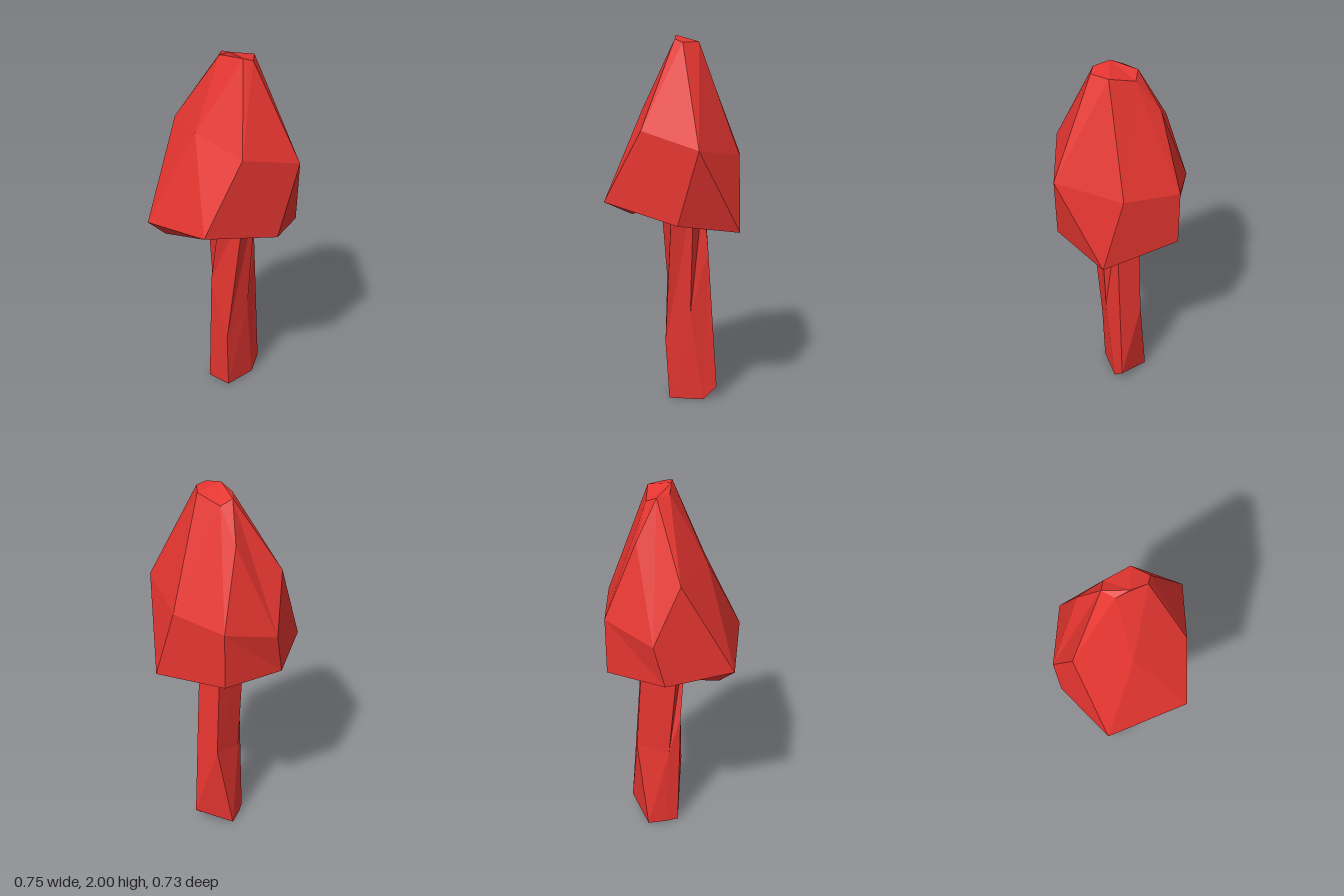
import * as THREE from 'three';

// Joins matching cross-section loops (counter-clockwise from above) into a faceted skin.
// flips lists the bands whose quads are split along the other diagonal.
function loft(rings, flips = []) {
  const pos = [];
  const tri = (...pts) => {
    const [a, b, c] = pts.map((p) => new THREE.Vector3(...p));
    if (b.clone().sub(a).cross(c.clone().sub(a)).length() > 1e-6) {
      for (const p of pts) pos.push(...p);
    }
  };
  for (let k = 0; k < rings.length - 1; k++) {
    const lo = rings[k], up = rings[k + 1], n = lo.length;
    for (let i = 0; i < n; i++) {
      const j = (i + 1) % n;
      if (flips.includes(k)) {
        tri(lo[i], lo[j], up[i]);
        tri(lo[j], up[j], up[i]);
      } else {
        tri(lo[i], lo[j], up[j]);
        tri(lo[i], up[j], up[i]);
      }
    }
  }
  const geo = new THREE.BufferGeometry();
  geo.setAttribute('position', new THREE.Float32BufferAttribute(pos, 3));
  geo.computeVertexNormals();
  return geo;
}

// A ring collapsed to one point, which closes a loft with a fan
const tip = (n, ...p) => Array(n).fill(p);

export function createModel() {
  const group = new THREE.Group();
  const red = new THREE.MeshStandardMaterial({ color: 0xe53530, flatShading: true });
  const add = (name, geo) => {
    const mesh = new THREE.Mesh(geo, red);
    mesh.name = name;
    group.add(mesh);
  };

  // Cap: hollow underside, lip, rim, widest loop, crown and peak
  const lip = [[-0.17, 0.99, 0.28], [-0.17, 0.99, 0.28], [0.2, 1.12, 0.28], [0.27, 1.05, -0.05],
    [0.15, 1.02, -0.29], [-0.2, 1.06, -0.24], [-0.3, 1.05, 0.03]];
  const rim = [[-0.215, 1.07, 0.363], [-0.215, 1.07, 0.363], [0.225, 1.14, 0.35], [0.34, 1.05, -0.06],
    [0.175, 0.99, -0.365], [-0.25, 1.04, -0.305], [-0.365, 1.04, 0.02]];
  const widest = [[-0.3, 1.58, 0.09], [-0.02, 1.6, 0.19], [0.28, 1.53, 0.14], [0.375, 1.45, -0.175],
    [0.06, 1.38, -0.345], [-0.25, 1.35, -0.31], [-0.378, 1.27, -0.04]];
  const crown = [[-0.095, 1.96, -0.06], [-0.045, 1.965, 0], [0.12, 1.985, -0.01], [0.145, 1.97, -0.055],
    [0.075, 1.97, -0.13], [-0.065, 1.93, -0.118], [-0.19, 1.76, -0.15]];
  // The last crown corner is a low shoulder, so the top closes from a loop that skips it
  const top = [...crown.slice(0, 6), crown[5]];
  const shoulder = [...crown.slice(0, 6), crown[0]];
  add('cap', loft([tip(7, 0.03, 1.17, -0.04), lip, rim, widest, crown], [2]));
  add('capTop', loft([top, tip(7, 0.03, 2, 0)]));
  add('capShoulder', loft([[crown[5], crown[6], crown[0]], tip(3, ...shoulder[6])]));

  // Stem: slightly twisted six-sided stalk with a chipped foot
  const foot = [[-0.08, 0, 0.05], [0.06, 0, 0.03], [0.055, 0, -0.16],
    [0.03, 0.07, -0.23], [-0.145, 0, -0.11], [-0.11, 0, -0.01]];
  const middle = [[-0.05, 0.67, 0.06], [0.07, 0.33, 0.05], [0.085, 0.5, -0.09],
    [0.04, 0.85, -0.18], [-0.09, 0.5, -0.18], [-0.09, 0.45, 0]];
  const neck = [[0.05, 1.17, 0.08], [0.15, 1.17, 0], [0.12, 1.17, -0.11],
    [0.03, 1.17, -0.15], [-0.08, 1.17, -0.14], [-0.085, 1.17, 0.06]];
  add('stem', loft([tip(6, -0.02, 0, -0.05), foot, middle, neck, tip(6, 0.03, 1.17, -0.04)]));

  return group;
}
